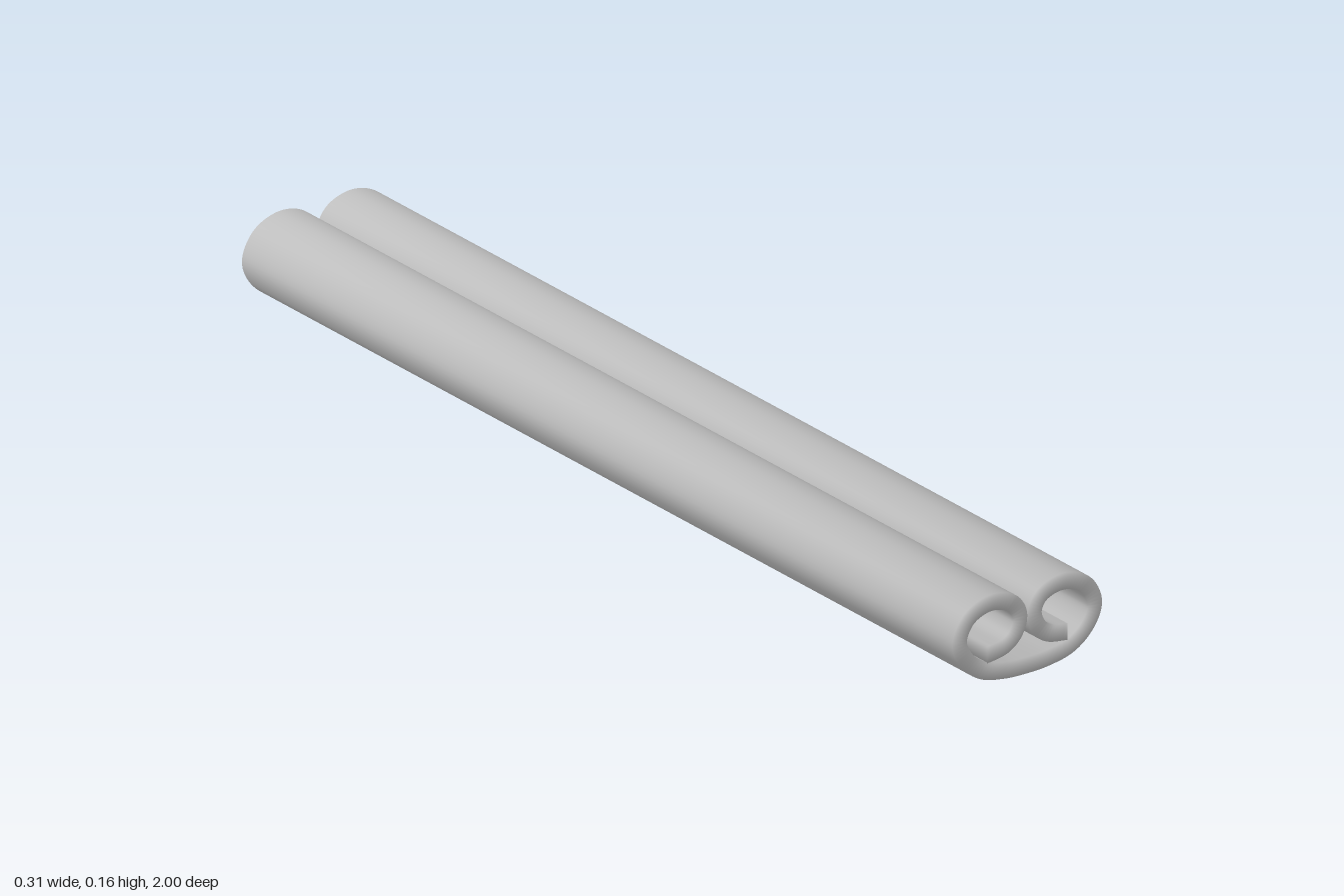
import * as THREE from 'three';

const HALF_LENGTH = 1;
const HALF_THICKNESS = 0.0152;
const STEPS = 140;

// Centre line of the right half, from the middle of the base to the inner free edge
const HALF_PROFILE = [
  [0.045, 0.0175], [0.093, 0.029], [0.128, 0.058], [0.141, 0.092], [0.121, 0.131],
  [0.075, 0.1485], [0.030, 0.135], [0.015, 0.107], [0.024, 0.079], [0.045, 0.062], [0.084, 0.0545],
];

function scrollCurve() {
  const right = HALF_PROFILE.map(([x, y]) => new THREE.Vector3(x, y, 0));
  const left = HALF_PROFILE.map(([x, y]) => new THREE.Vector3(-x, y, 0)).reverse();
  return new THREE.CatmullRomCurve3([...left, new THREE.Vector3(0, HALF_THICKNESS, 0), ...right], false, 'centripetal');
}

// Sheet of constant thickness following the curve, with soft shading across its long edges
function sheetGeometry(curve) {
  const corners = [[1, 1], [1, -1], [-1, -1], [-1, 1]]; // [outer or inner face, front or back]
  const positions = [], normals = [], index = [];
  for (let i = 0; i <= STEPS; i++) {
    const p = curve.getPointAt(i / STEPS);
    const t = curve.getTangentAt(i / STEPS);
    if (i === 0 || i === STEPS) t.set(1, 0, 0).multiplyScalar(1); // upright cut at the free edges
    const n = new THREE.Vector3(t.y, -t.x, 0);
    for (const [side, end] of corners) {
      const offset = n.clone().multiplyScalar(side * HALF_THICKNESS);
      positions.push(p.x + offset.x, p.y + offset.y, end * HALF_LENGTH);
      normals.push(n.x * side * Math.SQRT1_2, n.y * side * Math.SQRT1_2, end * Math.SQRT1_2);
    }
    if (i === STEPS) break;
    for (let k = 0; k < 4; k++) {
      const a = i * 4 + k, b = i * 4 + (k + 1) % 4;
      index.push(a, b, a + 4, b, b + 4, a + 4);
    }
  }
  // Closing faces along the two free edges
  const e = STEPS * 4;
  index.push(0, 3, 2, 0, 2, 1, e, e + 1, e + 2, e, e + 2, e + 3);

  const geometry = new THREE.BufferGeometry();
  geometry.setAttribute('position', new THREE.Float32BufferAttribute(positions, 3));
  geometry.setAttribute('normal', new THREE.Float32BufferAttribute(normals, 3));
  geometry.setIndex(index);
  return geometry;
}

export function createModel() {
  const group = new THREE.Group();
  group.name = 'doubleScroll';
  const sheet = new THREE.Mesh(
    sheetGeometry(scrollCurve()),
    new THREE.MeshStandardMaterial({ color: 0xcccccc }),
  );
  sheet.name = 'rolledSheet';
  group.add(sheet);
  return group;
}
